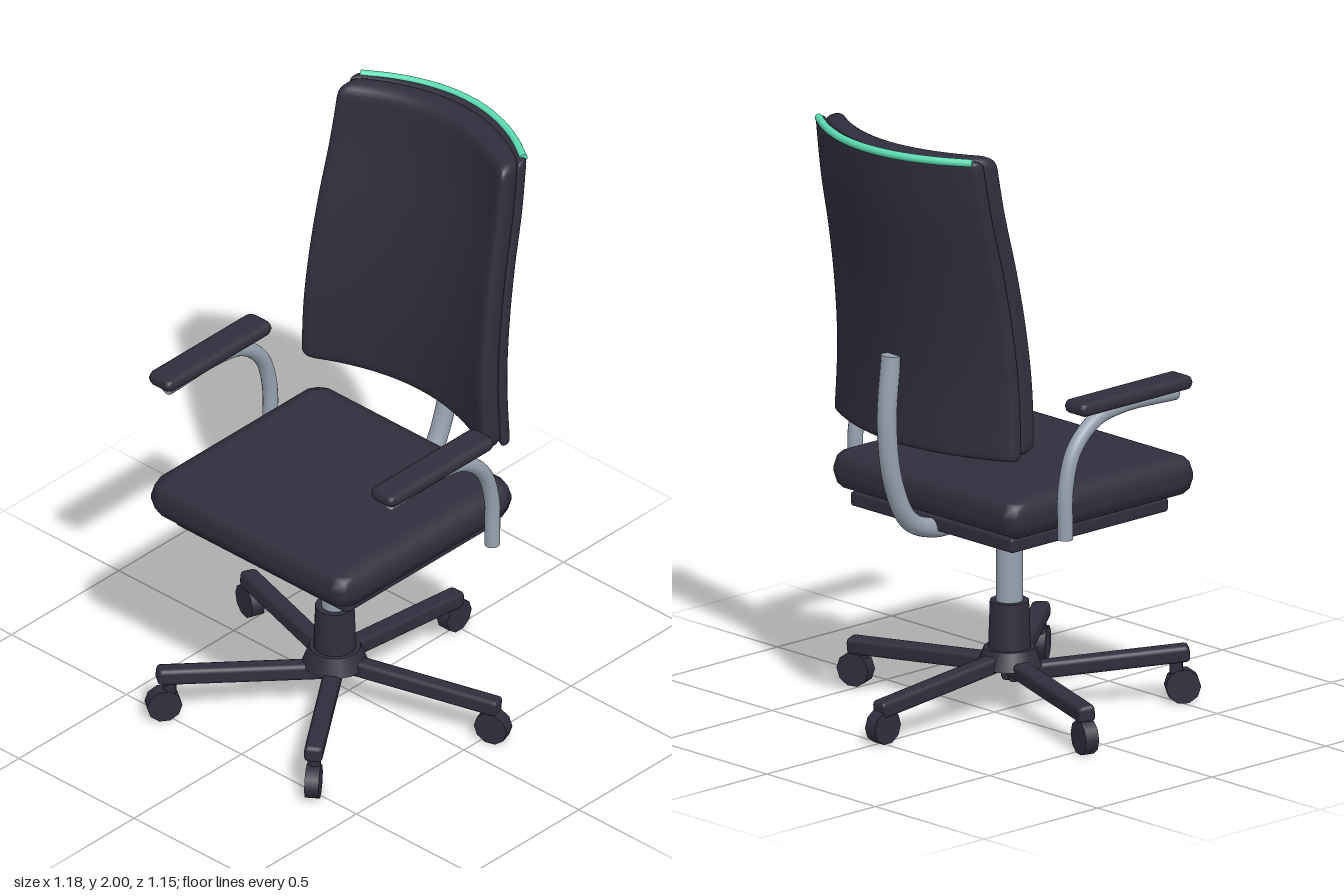
import * as THREE from 'three';
import { mergeVertices } from 'three/addons/utils/BufferGeometryUtils.js';
import { RoundedBoxGeometry } from 'three/addons/geometries/RoundedBoxGeometry.js';

const material = (name, color) => {
  const m = new THREE.MeshStandardMaterial({ color });
  m.name = name;
  return m;
};

const V = (x, y, z) => new THREE.Vector3(x, y, z);

function add(parent, name, geometry, mat, x = 0, y = 0, z = 0) {
  const mesh = new THREE.Mesh(geometry, mat);
  mesh.name = name;
  mesh.position.set(x, y, z);
  parent.add(mesh);
  return mesh;
}

// Tube along a smooth path, closed with a disc at each end
function addTube(parent, name, points, radius, mat) {
  const group = new THREE.Group();
  group.name = name;
  const curve = new THREE.CatmullRomCurve3(points);
  add(group, name + 'Pipe', new THREE.TubeGeometry(curve, 40, radius, 16), mat);
  for (const [t, s] of [[0, -1], [1, 1]]) {
    const p = curve.getPoint(t);
    const cap = add(group, name + 'End', new THREE.CircleGeometry(radius, 16), mat, p.x, p.y, p.z);
    cap.lookAt(p.clone().addScaledVector(curve.getTangent(t), s));
  }
  parent.add(group);
}

// Side profile of the backrest: z of the front surface at x = 0, by height
const leanCurve = new THREE.SplineCurve(
  [[0.98, -0.31], [1.2, -0.31], [1.4, -0.33], [1.6, -0.365], [1.8, -0.41], [2, -0.442]]
    .map(([y, z]) => new THREE.Vector2(y, z)));
const BACK_LOW = 0.98, BACK_HIGH = 1.995;

// How far the backrest wraps forward at x, tighter towards the top
const wrap = (x, t) => (0.72 + 0.23 * t) * x * x;

// Soft-edged slab, tapered, wrapped and leaned to the backrest curve
function backPanel(halfWidth, low, high, depth, radius, offset) {
  const half = V(halfWidth, (high - low) / 2, depth / 2);
  const g = new THREE.BoxGeometry(2, 2, 2, 28, 36, 8);
  const pos = g.attributes.position;
  const p = V(), inner = V();
  const limit = half.clone().subScalar(radius);
  for (let i = 0; i < pos.count; i++) {
    p.fromBufferAttribute(pos, i);
    // crowd the grid lines towards the rounded edges
    for (const a of ['x', 'y', 'z']) p[a] = Math.sin(p[a] * Math.PI / 2) * half[a];
    inner.copy(p).clamp(limit.clone().negate(), limit);
    p.sub(inner).setLength(radius).add(inner);
    const y = p.y + (low + high) / 2;
    const t = THREE.MathUtils.clamp((y - BACK_LOW) / (BACK_HIGH - BACK_LOW), 0, 1);
    const x = p.x * (1 - 0.11 * t);
    // spline points are not evenly spaced in y, so search for the height
    let a = 0, b = 1;
    for (let k = 0; k < 22; k++) {
      const m = (a + b) / 2;
      if (leanCurve.getPoint(m).x < y) a = m; else b = m;
    }
    pos.setXYZ(i, x, y, leanCurve.getPoint(a).y + wrap(x, t) - offset + p.z);
  }
  g.deleteAttribute('normal');
  g.deleteAttribute('uv');
  const merged = mergeVertices(g, 1e-5);
  merged.computeVertexNormals();
  return merged;
}

export function createModel() {
  const model = new THREE.Group();
  model.name = 'officeChair';
  const dark = material('darkUpholstery', 0x302e3d);
  const metal = material('greyMetal', 0x96a1b0);
  const green = material('mintTrim', 0x5cdcb2);
  const baseZ = 0.065;

  // Seat
  add(model, 'seatCushion', new RoundedBoxGeometry(0.88, 0.145, 0.815, 1, 0.065), dark, 0, 0.783, 0.082);
  add(model, 'seatPlate', new RoundedBoxGeometry(0.75, 0.05, 0.69, 1, 0.012), dark, 0, 0.688, 0.065);

  // Backrest
  add(model, 'backCushion', backPanel(0.41, 0.985, 1.995, 0.1, 0.042, 0.05), dark);
  add(model, 'backShell', backPanel(0.415, 0.98, 1.99, 0.045, 0.018, 0.104), dark);
  const trim = [];
  for (let i = -4; i <= 4; i++) {
    const x = i * 0.0885;
    trim.push(V(x, 1.987, -0.56 + 1.0 * x * x));
  }
  addTube(model, 'topTrim', trim, 0.013, green);
  addTube(model, 'backSupport', [
    V(0, 0.67, -0.14), V(0, 0.67, -0.27), V(0, 0.715, -0.375),
    V(0, 0.85, -0.445), V(0, 1.05, -0.473), V(0, 1.28, -0.455)
  ], 0.032, metal);

  // Armrests
  for (const [side, s] of [['left', 1], ['right', -1]]) {
    const x = s * 0.483;
    add(model, side + 'ArmPad', new RoundedBoxGeometry(0.104, 0.05, 0.486, 1, 0.023), dark, x, 1.135, 0.128);
    addTube(model, side + 'ArmSupport', [
      V(x, 0.71, -0.15), V(x, 0.88, -0.148), V(x, 1.0, -0.11),
      V(x, 1.08, -0.02), V(x, 1.105, 0.1), V(x, 1.1, 0.33)
    ], 0.025, metal);
  }

  // Column and hub
  add(model, 'gasColumn', new THREE.CylinderGeometry(0.043, 0.043, 0.36, 24), metal, 0, 0.5, baseZ);
  add(model, 'columnSleeve', new THREE.CylinderGeometry(0.063, 0.07, 0.2, 20), dark, 0, 0.262, baseZ);
  add(model, 'hub', new THREE.CylinderGeometry(0.082, 0.105, 0.06, 20), dark, 0, 0.178, baseZ);

  // Five legs with casters, the whole star leaning down towards the back
  const tilt = 0.1;
  for (let i = 0; i < 5; i++) {
    const angle = Math.PI + i * Math.PI * 2 / 5;
    const dx = Math.sin(angle), dz = Math.cos(angle);
    const leg = add(model, 'baseLeg', new RoundedBoxGeometry(0.06, 0.055, 0.585, 1, 0.014), dark,
      dx * 0.285, 0.143, baseZ + dz * 0.285);
    leg.rotation.set(-tilt, angle, 0);

    const caster = new THREE.Group();
    caster.name = 'caster';
    caster.position.set(dx * 0.555, 0, baseZ + dz * 0.555);
    caster.rotation.y = angle;
    model.add(caster);
    const top = 0.143 + tilt * dz * 0.25;
    add(caster, 'casterStem', new THREE.CylinderGeometry(0.022, 0.022, top - 0.06, 10), dark,
      0, (top + 0.06) / 2, -0.02);
    const wheel = new THREE.CylinderGeometry(0.057, 0.057, 0.046, 10);
    wheel.rotateZ(Math.PI / 2);
    add(caster, 'casterWheel', wheel, dark, 0, 0.057, 0);
  }
  return model;
}
